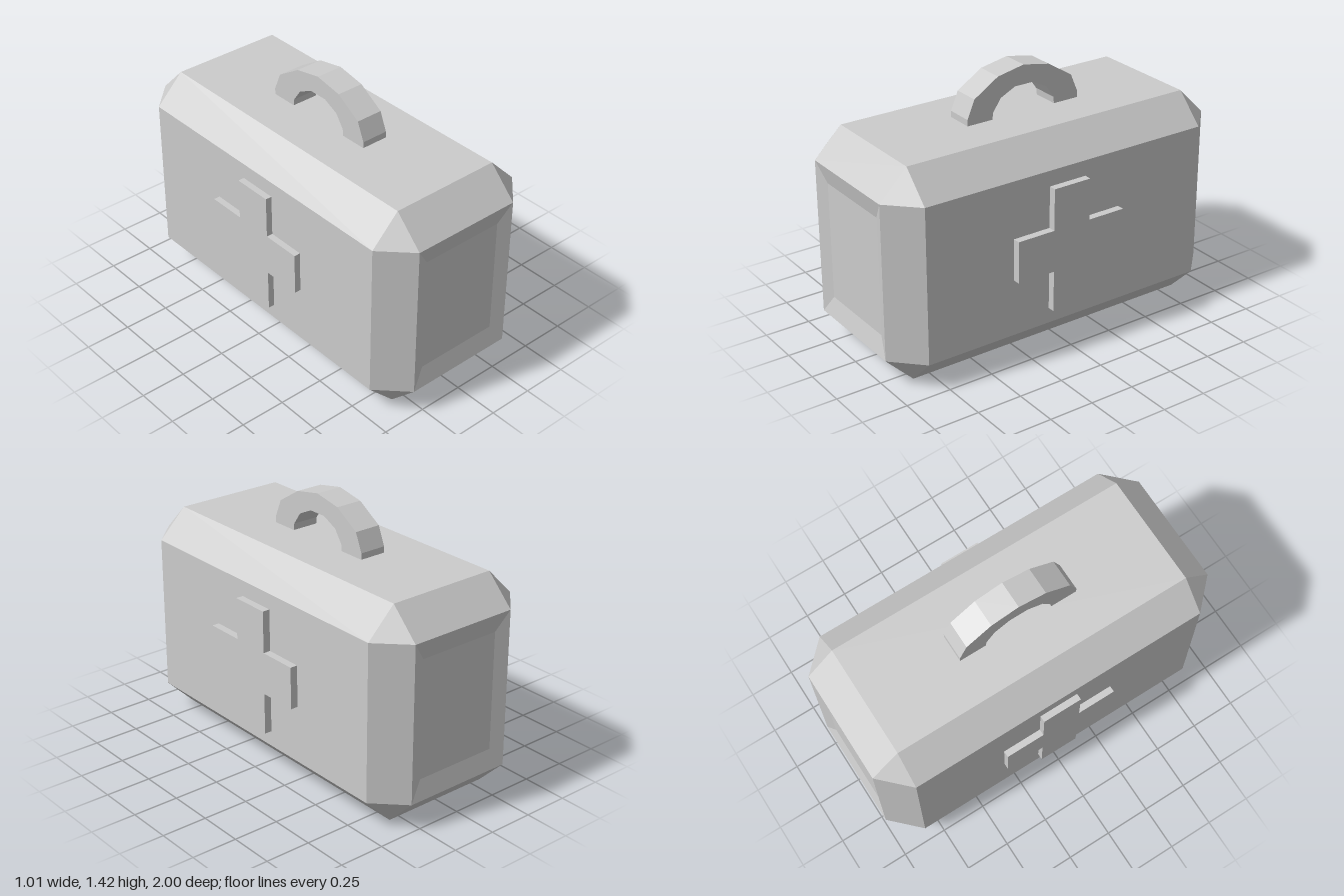
import * as THREE from 'three';

const mat = () => new THREE.MeshStandardMaterial({ color: 0xcccccc, flatShading: true });

// Counter-clockwise octagon; hx, hy are the half sizes, c the corner cut
function ring(hx, hy, c, z) {
  const x = hx - c, y = hy - c;
  return [[-x, -hy], [x, -hy], [hx, -y], [hx, y], [x, hy], [-x, hy], [-hx, y], [-hx, -y]]
    .map(([px, py]) => new THREE.Vector3(px, py, z));
}

// Skin a list of rings running from +z to -z and cap both ends
function loft(rings) {
  const pos = [], tri = new THREE.Triangle();
  const add = (a, b, c) => {
    tri.set(a, b, c);
    if (tri.getArea() > 1e-7) pos.push(...a, ...b, ...c);
  };
  for (let i = 0; i < rings.length - 1; i++) {
    const f = rings[i], b = rings[i + 1];
    for (let k = 0; k < 8; k++) {
      const n = (k + 1) % 8;
      add(f[k], b[k], f[n]);
      add(f[n], b[k], b[n]);
    }
  }
  const first = rings[0], last = rings[rings.length - 1];
  for (let k = 1; k < 7; k++) {
    add(first[0], first[k], first[k + 1]);
    add(last[0], last[k + 1], last[k]);
  }
  const geo = new THREE.BufferGeometry();
  geo.setAttribute('position', new THREE.Float32BufferAttribute(pos, 3));
  geo.computeVertexNormals();
  return geo;
}

// Extrude a (u, y) outline so that u = -z and the depth runs along +x
function extrudeX(points, depth, x) {
  const shape = new THREE.Shape(points.map(([u, y]) => new THREE.Vector2(u, y)));
  return new THREE.ExtrudeGeometry(shape, { depth, bevelEnabled: false })
    .rotateY(Math.PI / 2).translate(x, 0, 0);
}

export function createModel() {
  const model = new THREE.Group();
  const add = (name, geo) => {
    const mesh = new THREE.Mesh(geo, mat());
    mesh.name = name;
    model.add(mesh);
    return mesh;
  };

  // Chamfered case with a shallow recessed panel at each end
  const halves = [
    [0.237, 0.323, 0, 0.975],
    [0.312, 0.428, 0, 1],
    [0.467, 0.583, 0.155, 0.845],
  ];
  const rings = halves.map((h) => ring(...h));
  for (const [hx, hy, c, z] of [...halves].reverse()) rings.push(ring(hx, hy, c, -z));
  add('caseBody', loft(rings).translate(-0.003, 0.583, 0));

  // Raised cross on each broad side
  const w = 0.327, h = 0.343, a = 0.11, b = 0.115;
  const cross = [[-a, -h], [a, -h], [a, -b], [w, -b], [w, b], [a, b],
    [a, h], [-a, h], [-a, b], [-w, b], [-w, -b], [-a, -b]]
    .map(([u, y]) => [u - 0.01, y + 0.583]);
  add('leftCross', extrudeX(cross, 0.055, 0.45));
  add('rightCross', extrudeX(cross, 0.055, 0.45)).rotation.y = Math.PI;

  // Faceted arch handle: half outlines mirrored about the middle
  const outer = [[0.342, 1.16], [0.342, 1.2], [0.3, 1.3], [0.157, 1.39]];
  const inner = [[0.053, 1.314], [0.14, 1.272], [0.188, 1.203], [0.193, 1.16]];
  const mirror = (pts) => pts.map(([u, y]) => [-u, y]).reverse();
  add('handle', extrudeX([...outer, [0, 1.42], ...mirror(outer), ...mirror(inner), ...inner], 0.15, -0.078));

  return model;
}
